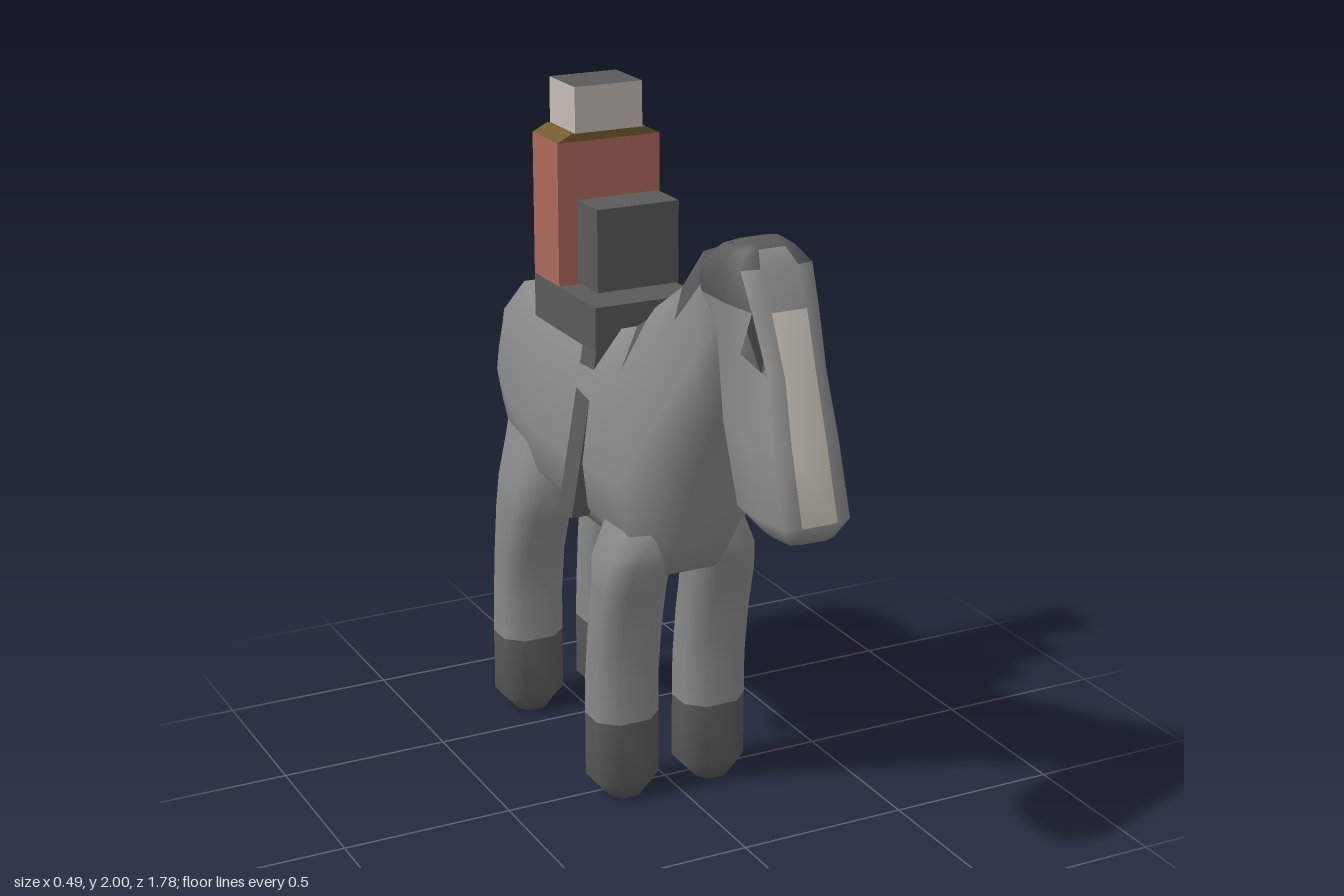
import * as THREE from 'three';

const mat = (name, color, side = THREE.FrontSide) => {
  const m = new THREE.MeshStandardMaterial({ color, side });
  m.name = name;
  return m;
};

// Ring of points between a far edge (top/front) and a near edge (bottom/back), mirrored in x.
// edge = [z, y]; half = [[u, v], ...] from near edge to far edge on the +x side.
function ring(far, near, w, half, shift = 0) {
  const full = half.concat(half.map(([u, v]) => [-u, v]).reverse());
  return full.map(([u, v]) => [
    shift + u * w,
    near[1] + (far[1] - near[1]) * v,
    near[0] + (far[0] - near[0]) * v,
  ]);
}

// Skin a list of rings; pick(ring, segment, triangle) gives the material index, or -1 for an opening.
function loft(name, rings, materials, pick) {
  const n = rings[0].length;
  const lists = materials.map(() => []);
  const add = (i, j, t, ...tri) => {
    const k = pick(i, j, t);
    if (k >= 0) lists[k].push(...tri);
  };
  for (let i = 0; i < rings.length - 1; i++) {
    for (let j = 0; j < n; j++) {
      const a = i * n + j, b = i * n + (j + 1) % n, c = a + n, d = b + n;
      if (j < n / 2) {
        add(i, j, 0, a, b, c);
        add(i, j, 1, b, d, c);
      } else {
        add(i, j, 0, a, b, d);
        add(i, j, 1, a, d, c);
      }
    }
  }
  const last = (rings.length - 1) * n;
  for (let j = 1; j < n - 1; j++) {
    add(0, j, 2, 0, j + 1, j);
    add(rings.length - 2, j, 2, last, last + j, last + j + 1);
  }
  const g = new THREE.BufferGeometry();
  g.setAttribute('position', new THREE.Float32BufferAttribute(rings.flat(2), 3));
  g.setIndex(lists.flat());
  let start = 0;
  lists.forEach((l, k) => {
    g.addGroup(start, l.length, k);
    start += l.length;
  });
  g.computeVertexNormals();
  const mesh = new THREE.Mesh(g, materials);
  mesh.name = name;
  return mesh;
}

// Box from its limits
function box(name, [x0, x1], [y0, y1], [z0, z1], material) {
  const mesh = new THREE.Mesh(new THREE.BoxGeometry(x1 - x0, y1 - y0, z1 - z0), material);
  mesh.position.set((x0 + x1) / 2, (y0 + y1) / 2, (z0 + z1) / 2);
  mesh.name = name;
  return mesh;
}

// Flat outline in x, y given a depth in z
function slab(name, pts, z0, z1, material) {
  const shape = new THREE.Shape(pts.map(([x, y]) => new THREE.Vector2(x, y)));
  const g = new THREE.ExtrudeGeometry(shape, { depth: z1 - z0, bevelEnabled: false });
  g.translate(0, 0, z0);
  const mesh = new THREE.Mesh(g, material);
  mesh.name = name;
  return mesh;
}

export function createModel() {
  const coat = mat('coat grey', 0x8a8a8a, THREE.DoubleSide);
  const dark = mat('dark grey', 0x5a5a5a);
  const pale = mat('pale stone', 0xc4bdb4);
  const red = mat('brick red', 0xae695d);
  const brown = mat('collar brown', 0x735a2e);

  const model = new THREE.Group();
  model.name = 'riddenHorse';
  const horse = new THREE.Group();
  horse.name = 'horse';
  horse.position.x = -0.01;
  model.add(horse);

  // Torso and neck, from rump to poll: top edge, bottom edge, half width, half width of the top
  const body = [
    [[-0.89, 1.2], [-0.892, 1.06], 0.06, 0.03],
    [[-0.85, 1.27], [-0.85, 0.99], 0.13, 0.06],
    [[-0.76, 1.33], [-0.74, 0.9], 0.18, 0.08],
    [[-0.66, 1.35], [-0.64, 0.79], 0.195, 0.085],
    [[-0.45, 1.35], [-0.45, 0.73], 0.2, 0.08],
    [[-0.25, 1.35], [-0.3, 0.73], 0.2, 0.08],
    [[-0.1, 1.36], [-0.07, 0.73], 0.2, 0.075],
    [[-0.03, 1.385], [0.06, 0.71], 0.2, 0.06],
    [[0.06, 1.43], [0.18, 0.72], 0.2, 0.075],
    [[0.12, 1.48], [0.25, 0.82], 0.19, 0.08],
    [[0.2, 1.53], [0.29, 0.96], 0.16, 0.08],
    [[0.28, 1.58], [0.34, 1.1], 0.13, 0.08],
    [[0.41, 1.71], [0.42, 1.24], 0.112, 0.085],
    [[0.54, 1.765], [0.49, 1.38], 0.1, 0.07],
  ].map(([t, b, w, top]) =>
    ring(t, b, w, [[0.45, 0], [0.92, 0.18], [1, 0.4], [0.83, 0.82], [top / w, 1]]));
  horse.add(loft('bodyAndMane', body, [coat, dark], (i, j, t) => {
    const beside = j === 3 || j === 5;
    return (i >= 7 && j === 4) || (beside && (i >= 11 || (i === 7 && t === 1))) ? 1 : 0;
  }));

  // Head, from crown to muzzle, with dark crown, pale blaze and eye openings
  const headHalf = [[0.7, 0], [1, 0.22], [1, 0.6], [0.85, 0.94], [0.45, 1]];
  const head = [
    [[0.59, 1.77], [0.53, 1.77], 0.06],
    [[0.62, 1.76], [0.47, 1.745], 0.085],
    [[0.66, 1.72], [0.42, 1.7], 0.122],
    [[0.715, 1.62], [0.38, 1.62], 0.113],
    [[0.78, 1.46], [0.44, 1.56], 0.1],
    [[0.83, 1.29], [0.51, 1.3], 0.113],
    [[0.89, 1.1], [0.6, 1.1], 0.115],
    [[0.86, 1.045], [0.69, 1.045], 0.075],
  ].map(([f, b, w]) => ring(f, b, w, headHalf));
  horse.add(loft('head', head, [coat, dark, pale], (i, j, t) => {
    if (i === 3 && t === 1 && (j === 2 || j === 6)) return -1;
    if (i < 3) return (i === 1 && j === 4) || (i === 2 && j > 2 && j < 6) ? 0 : 1;
    return j === 4 && i < 6 && t < 2 ? 2 : 0;
  }));

  // Legs from shoulder or haunch to hoof: y, front z, back z, half width, x
  const legHalf = [[0.5, 0], [1, 0.27], [1, 0.73], [0.5, 1]];
  const front = [
    [1.0, 0.18, -0.04, 0.05, 0.08], [0.84, 0.22, -0.06, 0.085, 0.105],
    [0.75, 0.2, -0.05, 0.1, 0.13],
    [0.67, 0.165, -0.015, 0.098, 0.14], [0.53, 0.13, -0.04, 0.098, 0.14],
    [0.38, 0.11, -0.06, 0.098, 0.14], [0.25, 0.11, -0.065, 0.098, 0.14],
    [0.055, 0.11, -0.065, 0.098, 0.14], [0, 0.08, -0.035, 0.05, 0.14],
  ];
  const hind = [
    [1.08, -0.48, -0.76, 0.05, 0.09], [0.9, -0.42, -0.74, 0.085, 0.11],
    [0.78, -0.42, -0.715, 0.1, 0.13],
    [0.68, -0.455, -0.71, 0.098, 0.14], [0.53, -0.53, -0.71, 0.098, 0.14],
    [0.38, -0.555, -0.72, 0.098, 0.14], [0.25, -0.555, -0.73, 0.098, 0.14],
    [0.055, -0.555, -0.73, 0.098, 0.14], [0, -0.585, -0.7, 0.05, 0.14],
  ];
  for (const s of [1, -1]) {
    const side = s > 0 ? 'Left' : 'Right';
    for (const [name, rows] of [['front', front], ['hind', hind]]) {
      const rings = rows.map(([y, zf, zb, w, x]) => ring([zf, y], [zb, y], w, legHalf, s * x));
      horse.add(loft(`${name}Leg${side}`, rings, [coat, dark], (i) => (i >= 6 ? 1 : 0)));
    }
  }

  // Hanging tail, widening downward: y, front z, back z, half width
  const tail = [
    [1.2, -0.86, -0.888, 0.04], [1.1, -0.85, -0.895, 0.065],
    [0.95, -0.845, -0.893, 0.09], [0.57, -0.85, -0.89, 0.1],
  ].map(([y, zf, zb, w]) => ring([zf, y], [zb, y], w, [[0.75, 0], [1, 0.4], [1, 1]]));
  horse.add(loft('tail', tail, [dark], () => 0));

  // Saddle with two slanting side straps
  model.add(box('saddle', [-0.165, 0.155], [1.3, 1.43], [-0.51, -0.1], dark));
  for (const s of [1, -1]) {
    const pts = [[0.16, 1.32], [0.1, 1.32], [0.19, 0.82], [0.245, 0.82]];
    model.add(slab(s > 0 ? 'strapLeft' : 'strapRight',
      pts.map(([x, y]) => [s * x, y]), -0.19, -0.1, dark));
  }

  // Blocky rider: pack in front, torso, sloping collar, head with dark hair
  model.add(box('pack', [-0.11, 0.145], [1.44, 1.68], [-0.33, -0.2], dark));
  model.add(box('riderTorso', [-0.165, 0.155], [1.43, 1.845], [-0.51, -0.34], red));
  model.add(slab('collar', [
    [-0.165, 1.845], [0.155, 1.845], [0.11, 1.868], [-0.12, 1.868],
  ], -0.51, -0.34, brown));
  model.add(box('riderHead', [-0.11, 0.1], [1.868, 2], [-0.51, -0.34],
    [pale, pale, dark, pale, pale, dark]));

  return model;
}
